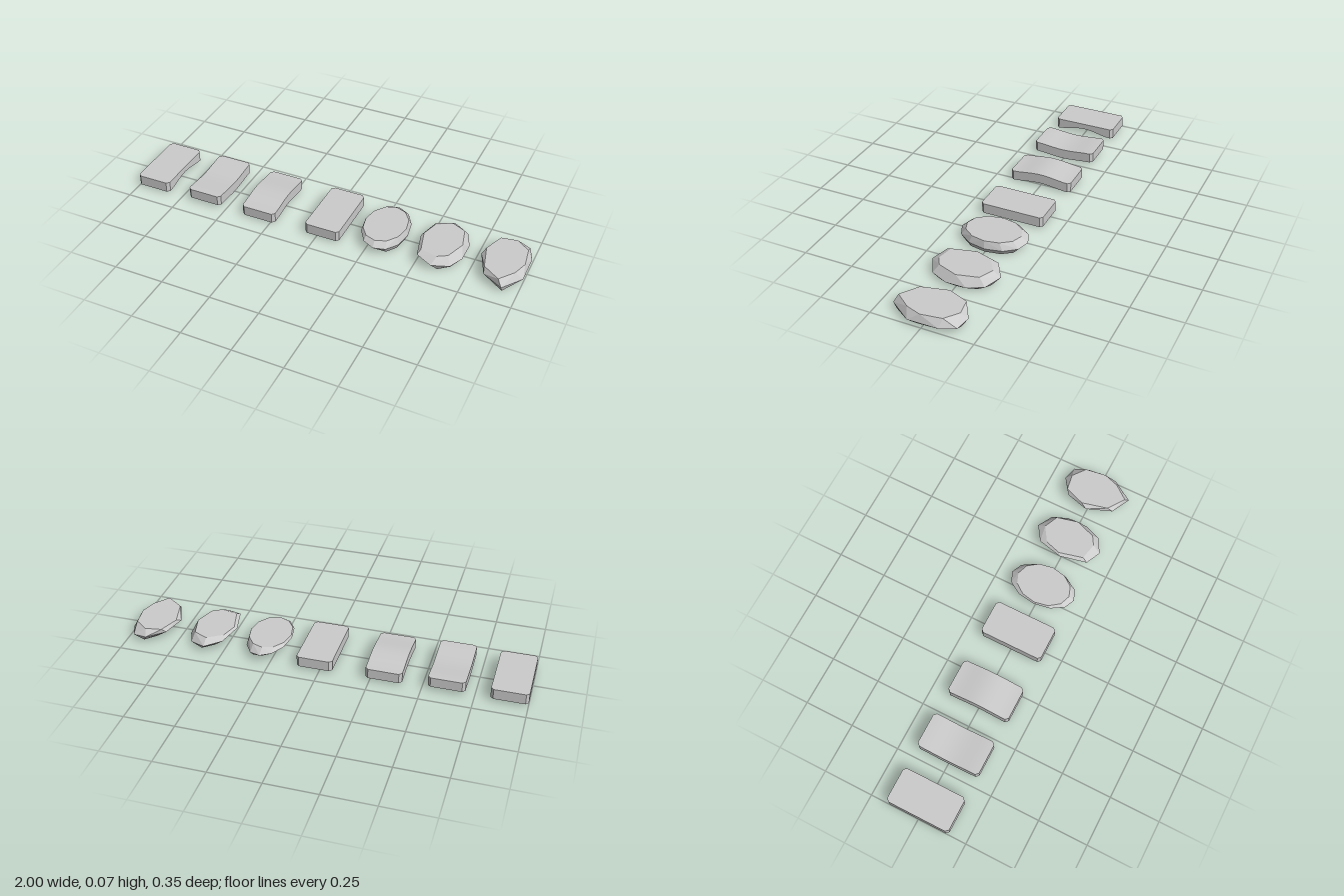
import * as THREE from 'three';
import { toCreasedNormals } from 'three/addons/utils/BufferGeometryUtils.js';
import { ConvexGeometry } from 'three/addons/geometries/ConvexGeometry.js';

const grey = new THREE.MeshStandardMaterial({ color: 0xcccccc });
const W = 0.178, L = 0.325, CHAMFER = 0.014;

// Soft bump: 1 in the middle of the length, 0 at the ends
const bump = (z) => 0.5 + 0.5 * Math.cos((2 * Math.PI * z) / L);

// Rectangular tablet with cut corners; bottom(x, z) and top(x, z) give its heights
function tablet(name, x0, bottom, top) {
  const rows = 18;
  const geo = new THREE.BoxGeometry(W, 1, L, 6, 1, rows);
  const p = geo.attributes.position;
  for (let i = 0; i < p.count; i++) {
    const row = Math.round((p.getZ(i) / L + 0.5) * rows);
    let x = p.getX(i), z = p.getZ(i);
    if (row === 0 || row === rows) x *= 1 - (2 * CHAMFER) / W;
    if (row === 1 || row === rows - 1) z = Math.sign(z) * (L / 2 - CHAMFER);
    p.setXYZ(i, x, p.getY(i) > 0 ? top(x, z) : bottom(x, z), z);
  }
  const mesh = new THREE.Mesh(toCreasedNormals(geo, 0.5), grey);
  mesh.name = name;
  mesh.position.set(x0, 0, -0.003);
  return mesh;
}

// Faceted stone: convex hull of a top, girdle and bottom ring of [x, z] points
function stone(name, x0, rings) {
  const points = [];
  for (const { y, ring, tilt = 0 } of rings) {
    for (const [x, z] of ring) points.push(new THREE.Vector3(x, y + tilt * x, z));
  }
  const mesh = new THREE.Mesh(new ConvexGeometry(points), grey);
  mesh.name = name;
  mesh.position.x = x0;
  return mesh;
}

// Evenly spaced ring on an ellipse
const oval = (n, cx, cz, rx, rz) => Array.from({ length: n }, (_, i) => {
  const a = (i / n) * Math.PI * 2;
  return [cx + rx * Math.cos(a), cz + rz * Math.sin(a)];
});

export function createModel() {
  const model = new THREE.Group();
  model.name = 'tabletsAndStones';

  // Four tablets: notched underneath, sagging, arched and flat
  const notch = (x, z) => 0.012 + 0.024 * bump(z) * Math.max(0, x / W + 0.5) ** 2;
  model.add(
    tablet('notchedTablet', -0.911, notch, () => 0.065),
    tablet('saggingTablet', -0.616, (x, z) => 0.021 - 0.011 * bump(z), (x, z) => 0.071 - 0.011 * bump(z)),
    tablet('archedTablet', -0.315, (x, z) => 0.01 + 0.015 * bump(z), (x, z) => 0.06 + 0.015 * bump(z)),
    tablet('flatTablet', 0.027, () => 0.011, () => 0.063),
  );

  // Oval stone
  model.add(stone('ovalStone', 0.298, [
    { y: 0.067, ring: oval(12, -0.002, 0, 0.104, 0.14) },
    { y: 0.042, tilt: -0.12, ring: oval(12, 0, -0.004, 0.111, 0.172) },
    { y: 0.004, ring: oval(10, 0.03, 0, 0.068, 0.13) },
  ]));

  // Broad stone
  model.add(stone('broadStone', 0.587, [
    { y: 0.067, ring: [[-0.1, -0.01], [-0.075, -0.09], [0, -0.137], [0.07, -0.105], [0.096, 0], [0.06, 0.1], [0.015, 0.127], [-0.07, 0.11]] },
    { y: 0.04, tilt: -0.15, ring: [[-0.112, 0], [-0.08, -0.125], [0, -0.176], [0.08, -0.136], [0.113, -0.06], [0.113, 0.045], [0.08, 0.126], [0, 0.17], [-0.08, 0.136]] },
    { y: 0.004, ring: oval(8, 0.025, 0, 0.07, 0.14) },
  ]));

  // Angular stone
  model.add(stone('angularStone', 0.888, [
    { y: 0.066, ring: [[-0.098, -0.03], [-0.06, -0.13], [0.02, -0.143], [0.085, -0.093], [0.1, 0.01], [0.075, 0.085], [0.018, 0.158], [-0.066, 0.1]] },
    { y: 0.037, tilt: -0.1, ring: [[-0.112, 0], [-0.078, -0.115], [0.008, -0.174], [0.08, -0.157], [0.11, -0.083], [0.112, 0.067], [0.04, 0.174], [-0.06, 0.126]] },
    { y: 0.002, ring: [[-0.03, 0.02], [-0.02, -0.1], [0.03, -0.15], [0.08, -0.08], [0.09, 0.03], [0.04, 0.157], [-0.02, 0.1]] },
  ]));

  return model;
}
